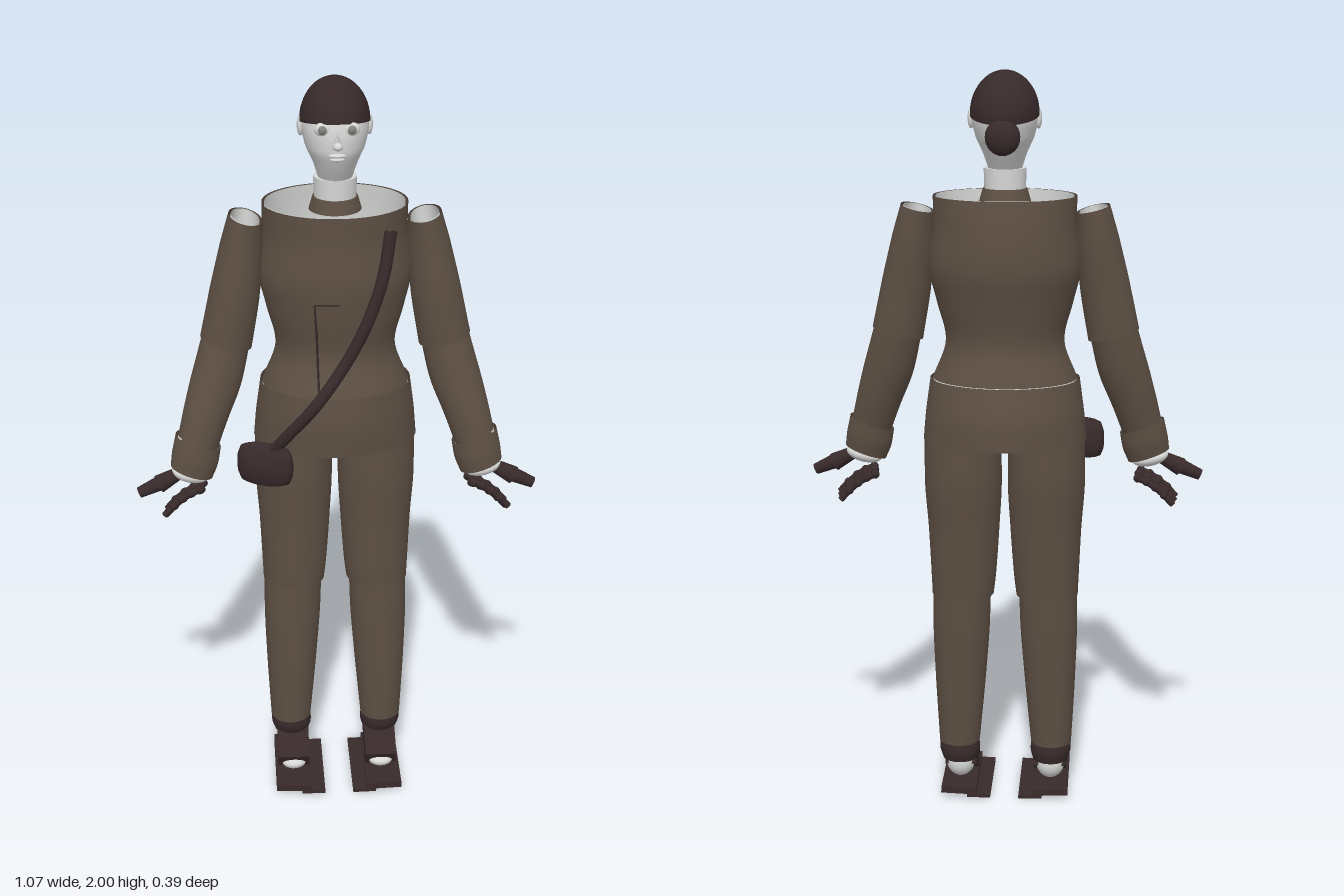
import * as THREE from 'three';

const mat = (name, color, side = THREE.FrontSide) =>
  Object.assign(new THREE.MeshStandardMaterial({ color, side }), { name });

// Torso sections from top to hem: [x, y, z, radius x, radius z]
const JACKET = [
  [0, 1.68, -0.02, 0.188, 0.15], [0, 1.6, -0.025, 0.188, 0.155], [0, 1.5, -0.022, 0.2, 0.16],
  [0, 1.4, -0.015, 0.18, 0.145], [0, 1.3, -0.012, 0.157, 0.13], [0, 1.19, -0.01, 0.194, 0.155],
];
const PEPLUM = [
  [0, 1.195, -0.012, 0.199, 0.16], [0, 1.1, -0.018, 0.212, 0.172], [0, 1.03, -0.02, 0.218, 0.17],
];

// Smooth tube through elliptical sections; tilt raises the +x side of every ring
function loft(sections, { tilt = 0, inset = 0, steps = 6, around = 32 } = {}) {
  const centres = new THREE.CatmullRomCurve3(sections.map(s => new THREE.Vector3(s[0], s[1], s[2])));
  const radii = new THREE.CatmullRomCurve3(sections.map(s => new THREE.Vector3(s[3], 0, s[4])));
  const rows = (sections.length - 1) * steps;
  const pos = [], index = [];
  for (let i = 0; i <= rows; i++) {
    const c = centres.getPoint(i / rows), r = radii.getPoint(i / rows);
    for (let j = 0; j < around; j++) {
      const a = (j / around) * Math.PI * 2;
      const dx = Math.sin(a) * (r.x - inset), dz = Math.cos(a) * (r.z - inset);
      pos.push(c.x + dx, c.y + dx * tilt, c.z + dz);
      if (i === rows) continue;
      const p = i * around + j, q = i * around + ((j + 1) % around);
      index.push(p, p + around, q, q, p + around, q + around);
    }
  }
  const g = new THREE.BufferGeometry();
  g.setAttribute('position', new THREE.Float32BufferAttribute(pos, 3));
  g.setIndex(index);
  g.computeVertexNormals();
  return g;
}

// Depth of the front of the torso at x, y
function frontZ(x, y) {
  const all = [...JACKET.slice(0, 5), ...PEPLUM];
  let i = 0;
  while (i < all.length - 2 && all[i + 1][1] > y) i++;
  const t = THREE.MathUtils.clamp((all[i][1] - y) / (all[i][1] - all[i + 1][1]), 0, 1);
  const [, , cz, rx, rz] = all[i].map((v, k) => THREE.MathUtils.lerp(v, all[i + 1][k], t));
  return cz + rz * Math.sqrt(Math.max(0, 1 - (x / rx) ** 2));
}

export function createModel() {
  const model = new THREE.Group();
  const cloth = mat('brown cloth', 0x5e5044, THREE.DoubleSide);
  const leather = mat('dark leather', 0x382a2b, THREE.DoubleSide);
  const pale = mat('pale skin and lining', 0xd6d8d6, THREE.DoubleSide);
  const grey = mat('grey eye', 0x85857f);

  const add = (name, geometry, material, x = 0, y = 0, z = 0) => {
    const m = new THREE.Mesh(geometry, material);
    m.name = name;
    m.position.set(x, y, z);
    model.add(m);
    return m;
  };
  const ball = (rx, ry, rz) => new THREE.SphereGeometry(1, 24, 16).scale(rx, ry, rz);
  const rod = (name, a, b, r0, r1, material) => {
    const p = new THREE.Vector3(...a), q = new THREE.Vector3(...b);
    const m = add(name, new THREE.CylinderGeometry(r1, r0, p.distanceTo(q), 14), material);
    m.position.copy(p).lerp(q, 0.5);
    m.quaternion.setFromUnitVectors(new THREE.Vector3(0, 1, 0), q.sub(p).normalize());
  };
  // Garment piece with a pale inner lining
  const sleeve = (name, sections, options = {}) => {
    add(name, loft(sections, options), cloth);
    add(name + 'Lining', loft(sections, { ...options, inset: 0.007 }), pale);
  };

  // Open-topped jacket, its skirt and the body floor within
  sleeve('jacket', JACKET, { around: 48 });
  sleeve('jacketSkirt', PEPLUM, { around: 48 });
  add('pelvis', ball(0.19, 0.02, 0.145), pale, 0, 1.1, -0.018);
  const seam = pts => new THREE.TubeGeometry(
    new THREE.CatmullRomCurve3(pts.map(([x, y]) => new THREE.Vector3(x, y, frontZ(x, y)))), 16, 0.003, 6);
  add('frontSeam', seam([[-0.05, 1.2], [-0.052, 1.28], [-0.055, 1.37], [-0.06, 1.45]]), leather);
  add('pocketSeam', seam([[-0.06, 1.45], [-0.03, 1.452], [0.005, 1.452]]), leather);

  // Shoulder strap and hip bag
  const strap = [[0.135, 1.635], [0.115, 1.52], [0.075, 1.4], [0.02, 1.29], [-0.06, 1.18], [-0.13, 1.09], [-0.17, 1.03]];
  add('strap', new THREE.TubeGeometry(new THREE.CatmullRomCurve3(
    strap.map(([x, y]) => new THREE.Vector3(x, y, frontZ(x, y) + 0.01))), 40, 0.016, 8), leather);
  add('bag', loft([[0, 0.03, 0, 0.001, 0.001], [0, 0.03, 0, 0.075, 0.036], [0, 0, 0, 0.078, 0.04],
    [0, -0.028, 0, 0.075, 0.036], [0, -0.028, 0, 0.001, 0.001]]), leather, -0.192, 1.0, 0.115).rotation.y = -0.4;

  // Neck and collar
  add('collar', new THREE.CylinderGeometry(0.058, 0.068, 0.035, 28), cloth, 0, 1.68, -0.012);
  add('neck', new THREE.CylinderGeometry(0.056, 0.054, 0.06, 28), pale, 0, 1.72, -0.012);

  // Head
  add('head', loft([
    [0, 1.98, -0.027, 0.03, 0.05], [0, 1.93, -0.027, 0.078, 0.1], [0, 1.88, -0.024, 0.086, 0.109],
    [0, 1.83, -0.017, 0.076, 0.102], [0, 1.79, -0.013, 0.058, 0.08], [0, 1.745, -0.011, 0.043, 0.05],
  ]), pale);
  add('hair', new THREE.SphereGeometry(1, 32, 16, 0, Math.PI * 2, 0, Math.PI / 2)
    .rotateX(-0.18).scale(0.09, 0.112, 0.115), leather, 0, 1.888, -0.027);
  add('hairBun', ball(0.045, 0.047, 0.032), leather, 0, 1.838, -0.128);
  add('nose', new THREE.ConeGeometry(0.016, 0.05, 12).rotateX(0.35), pale, 0, 1.868, 0.092);
  add('noseTip', ball(0.012, 0.01, 0.016), pale, 0, 1.856, 0.1);
  add('upperLip', ball(0.022, 0.006, 0.01), pale, 0, 1.828, 0.083);
  add('lowerLip', ball(0.018, 0.006, 0.01), pale, 0, 1.817, 0.078);

  for (const s of [1, -1]) {
    const side = s > 0 ? 'left' : 'right';
    const flip = list => list.map(([x, ...rest]) => [s * x, ...rest]);

    // Eyes and ears
    add(side + 'EyeSocket', ball(0.02, 0.017, 0.012), pale, s * 0.037, 1.893, 0.072);
    add(side + 'Eye', ball(0.012, 0.012, 0.009), grey, s * 0.037, 1.893, 0.078);
    add(side + 'Ear', ball(0.009, 0.027, 0.016), pale, s * 0.087, 1.878, -0.025);

    // Jointed sleeves, open at the shoulder
    sleeve(side + 'UpperSleeve', flip([
      [0.23, 1.645, -0.008, 0.043, 0.068], [0.242, 1.56, -0.006, 0.055, 0.07],
      [0.262, 1.44, 0.002, 0.064, 0.069], [0.287, 1.31, 0.006, 0.067, 0.065],
    ]), { tilt: s * 0.25 });
    sleeve(side + 'LowerSleeve', flip([
      [0.285, 1.325, 0.006, 0.061, 0.06], [0.312, 1.22, 0.022, 0.064, 0.06],
      [0.345, 1.12, 0.042, 0.058, 0.056], [0.372, 1.03, 0.06, 0.052, 0.048],
    ]), { tilt: s * 0.28 });
    sleeve(side + 'Cuff', flip([
      [0.367, 1.05, 0.058, 0.059, 0.052], [0.375, 1.01, 0.062, 0.06, 0.052], [0.387, 0.965, 0.068, 0.055, 0.046],
    ]), { tilt: s * 0.35 });

    // Wrist, thumb bar and curled fingers
    add(side + 'Wrist', ball(0.05, 0.022, 0.036), pale, s * 0.392, 0.957, 0.068).rotation.z = s * 0.25;
    rod(side + 'ThumbBase', [s * 0.405, 0.968, 0.068], [s * 0.475, 0.93, 0.074], 0.015, 0.025, leather);
    rod(side + 'ThumbTip', [s * 0.468, 0.935, 0.074], [s * 0.528, 0.908, 0.077], 0.021, 0.015, leather);
    for (let f = 0; f < 4; f++) {
      for (let k = 0; k < 4; k++) {
        const at = n => [s * (0.358 + 0.024 * n + 0.003 * f),
          0.908 - 0.007 * n - 0.0028 * n * n + (f % 2) * 0.008, 0.03 + 0.019 * f];
        add(side + 'Knuckle', new THREE.SphereGeometry(0.012, 10, 8), leather, ...at(k));
        rod(side + 'Finger', at(k), at(k + 1), 0.009, 0.009, leather);
      }
    }

    // Trouser legs in two pieces
    sleeve(side + 'Thigh', flip([
      [0.112, 1.06, -0.03, 0.103, 0.102], [0.112, 0.93, -0.028, 0.104, 0.102],
      [0.111, 0.78, -0.022, 0.096, 0.09], [0.113, 0.64, -0.017, 0.088, 0.083], [0.115, 0.59, -0.016, 0.084, 0.08],
    ]));
    sleeve(side + 'Calf', flip([
      [0.117, 0.62, -0.016, 0.079, 0.076], [0.12, 0.5, -0.012, 0.078, 0.074],
      [0.124, 0.33, -0.004, 0.069, 0.066], [0.128, 0.15, 0.002, 0.056, 0.056],
    ]));

    // Boot cuff, ankle, tilted shoe and split sole
    add(side + 'BootCuff', loft(flip([
      [0.128, 0.16, 0.002, 0.053, 0.054], [0.127, 0.13, 0, 0.056, 0.057], [0.126, 0.1, -0.003, 0.048, 0.048],
    ])), leather);
    add(side + 'Ankle', ball(0.04, 0.045, 0.04), pale, s * 0.126, 0.085, 0.005);
    add(side + 'Shoe', new THREE.BoxGeometry(0.088, 0.052, 0.125), leather, s * 0.124, 0.077, 0.048).rotation.x = 0.48;
    add(side + 'Toe', ball(0.035, 0.018, 0.03), pale, s * 0.124, 0.042, 0.09);
    add(side + 'OuterSole', new THREE.BoxGeometry(0.098, 0.018, 0.258), leather, s * 0.127, 0.02, 0.066).rotation.z = s * 0.04;
    add(side + 'InnerSole', new THREE.BoxGeometry(0.065, 0.009, 0.258), leather, s * 0.072, 0.0055, 0.066).rotation.z = s * 0.02;
  }
  return model;
}
